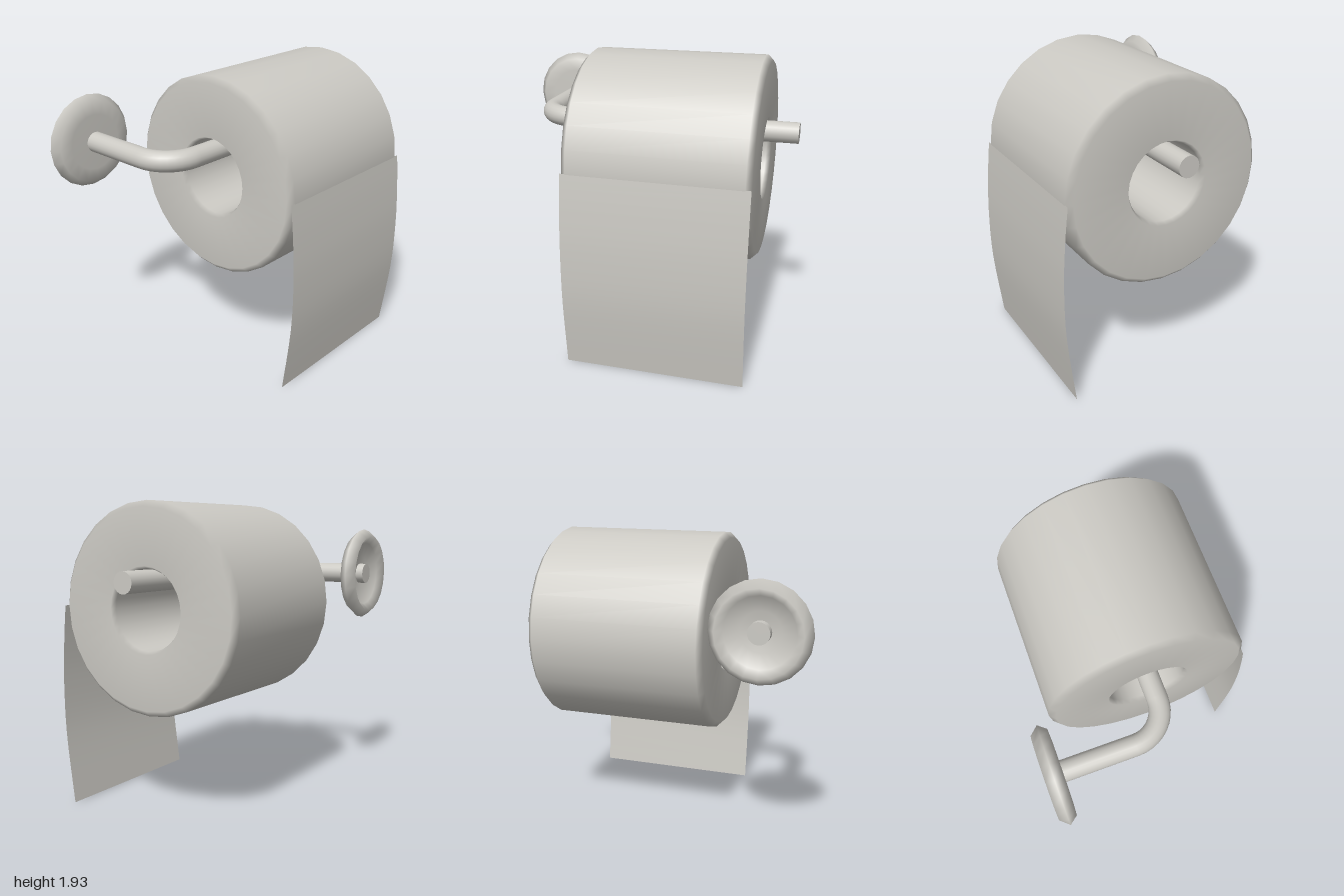
import * as THREE from 'three';

export function createModel() {
  const group = new THREE.Group();
  const paper = new THREE.MeshStandardMaterial({ color: 0xcccac4, side: THREE.DoubleSide });
  paper.name = 'warm grey';

  const add = (name, geometry, x, y, z) => {
    const mesh = new THREE.Mesh(geometry, paper);
    mesh.name = name;
    mesh.position.set(x, y, z);
    group.add(mesh);
    return mesh;
  };
  const lathe = (points, sides) =>
    new THREE.LatheGeometry(points.map(([r, h]) => new THREE.Vector2(r, h)), sides);

  const rollX = 0.235, rollY = 1.29, half = 0.57;
  const rodX = -0.695, rodY = 1.465, rodZ = 0.045, rodR = 0.066, bend = 0.22;

  // Paper roll: hollow, with chamfered outer rims and softly shaded ends
  add('paperRoll', lathe([
    [0.246, 0], [0.246, -half + 0.03], [0.262, -half], [0.605, -half], [0.641, -half + 0.035],
    [0.641, half - 0.035], [0.605, half], [0.262, half], [0.246, half - 0.03], [0.246, 0],
  ], 28).rotateZ(-Math.PI / 2), rollX, rollY, 0.048);

  // Hanging sheet: a plane bowed along its length
  const drop = new THREE.SplineCurve([
    [0.688, 1.29], [0.708, 1.08], [0.722, 0.8], [0.712, 0.45], [0.655, 0],
  ].map(([z, y]) => new THREE.Vector2(z, y)));
  const rows = 16;
  const sheet = new THREE.PlaneGeometry(half * 2, 1, 1, rows);
  const pos = sheet.attributes.position;
  for (let i = 0; i < pos.count; i++) {
    const p = drop.getPoint(Math.floor(i / 2) / rows);
    pos.setY(i, p.y);
    pos.setZ(i, p.x);
  }
  sheet.computeVertexNormals();
  add('hangingSheet', sheet, rollX, 0, 0);

  // Holder rod: long arm through the roll, quarter bend, short arm to the wall
  const armStart = rodX + bend, armLength = 1 - armStart;
  add('holderArm', new THREE.CylinderGeometry(rodR, rodR, armLength, 20).rotateZ(Math.PI / 2),
    armStart + armLength / 2, rodY, rodZ);
  add('holderBend', new THREE.TorusGeometry(bend, rodR, 20, 10, Math.PI / 2)
    .rotateZ(Math.PI / 2).rotateX(Math.PI / 2), armStart, rodY, rodZ - bend);
  const backZ = -0.7, wallLength = rodZ - bend - backZ;
  add('wallArm', new THREE.CylinderGeometry(rodR, rodR, wallLength, 20).rotateX(Math.PI / 2),
    rodX, rodY, backZ + wallLength / 2);

  // Wall plate: round, with a sharp rim and a hollow back
  add('wallPlate', lathe([
    [0, 0.03], [0.12, 0.022], [0.21, -0.012], [0.255, -0.053],
    [0.302, 0], [0.262, 0.05], [0.18, 0.054], [0, 0.055],
  ], 20).rotateX(Math.PI / 2), -0.698, rodY, -0.677);

  return group;
}
